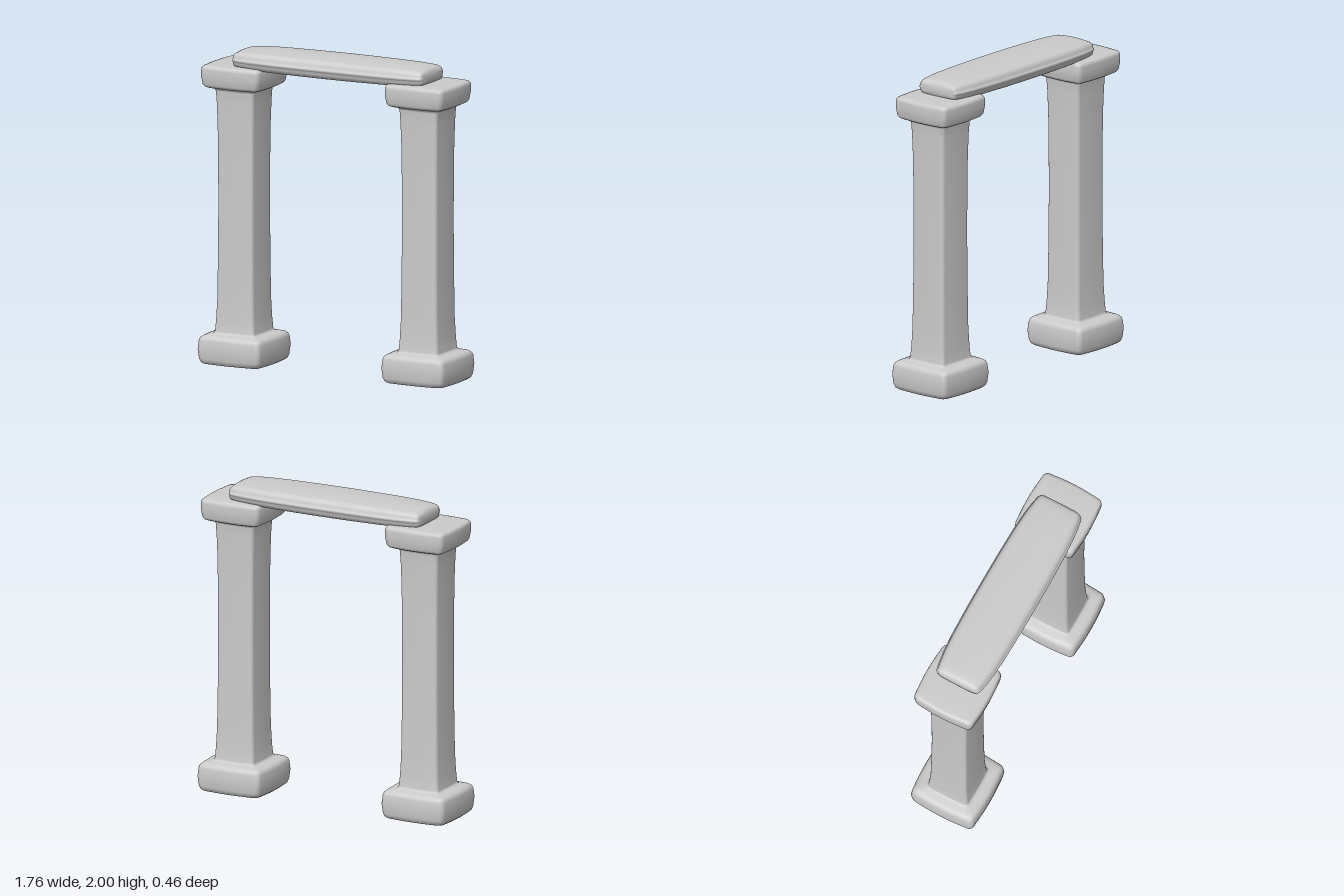
import * as THREE from 'three';

const stone = new THREE.MeshStandardMaterial({ color: 0xcccccc });

// Rounded rectangle in x/z; sides bow outward by `bow`.
function section(hx, hz, r, bow) {
  const points = [];
  const arc = 5, side = 6;
  const corners = [[1, 1], [-1, 1], [-1, -1], [1, -1]];
  corners.forEach(([sx, sz], q) => {
    for (let i = 0; i <= arc; i++) {
      const a = (q + i / arc) * Math.PI / 2;
      points.push([sx * (hx - bow - r) + r * Math.cos(a), sz * (hz - bow - r) + r * Math.sin(a)]);
    }
    const [nx, nz] = corners[(q + 1) % 4];
    const end = (q + 1) * Math.PI / 2, c = Math.cos(end), s = Math.sin(end);
    for (let i = 1; i < side; i++) {
      const t = i / side, b = r + bow * Math.sin(Math.PI * t);
      points.push([
        THREE.MathUtils.lerp(sx, nx, t) * (hx - bow - r) + b * c,
        THREE.MathUtils.lerp(sz, nz, t) * (hz - bow - r) + b * s,
      ]);
    }
  });
  return points;
}

// Skin a stack of sections along y; each ring is [y, halfX, halfZ, radius, bow].
function loft(rings) {
  const pos = [], index = [];
  let n = 0;
  for (const [y, hx, hz, r, bow] of rings) {
    const pts = section(hx, hz, r, bow);
    n = pts.length;
    for (const [x, z] of pts) pos.push(x, y, z);
  }
  for (let i = 0; i < rings.length - 1; i++) {
    for (let j = 0; j < n; j++) {
      const a = i * n + j, b = i * n + (j + 1) % n;
      index.push(a, a + n, b, b, a + n, b + n);
    }
  }
  // End faces
  const last = (rings.length - 1) * n, bottom = pos.length / 3, top = bottom + 1;
  pos.push(0, rings[0][0], 0, 0, rings[rings.length - 1][0], 0);
  for (let j = 0; j < n; j++) {
    const k = (j + 1) % n;
    index.push(bottom, j, k, top, last + k, last + j);
  }
  const geometry = new THREE.BufferGeometry();
  geometry.setAttribute('position', new THREE.Float32BufferAttribute(pos, 3));
  geometry.setIndex(index);
  geometry.computeVertexNormals();
  return geometry;
}

function pillarGeometry() {
  // [y, half width] from foot to capital
  const profile = [
    [0, 0.1], [0.002, 0.18], [0.007, 0.205], [0.018, 0.218], [0.04, 0.226], [0.1, 0.232],
    [0.155, 0.227], [0.172, 0.221], [0.183, 0.209], [0.189, 0.19], [0.193, 0.165],
    [0.198, 0.148], [0.21, 0.143], [0.28, 0.138], [0.4, 0.133], [0.65, 0.13], [1, 0.128],
    [1.3, 0.129], [1.5, 0.131], [1.65, 0.135], [1.725, 0.139], [1.738, 0.144],
    [1.743, 0.16], [1.749, 0.185], [1.757, 0.2], [1.772, 0.209], [1.82, 0.216],
    [1.865, 0.216], [1.878, 0.213], [1.887, 0.206], [1.892, 0.19], [1.894, 0.1],
  ];
  return loft(profile.map(([y, h]) => {
    const shaft = y > 0.195 && y < 1.74;
    return [y, h, h, shaft ? 0.022 : Math.min(0.035, h * 0.2), shaft ? 0.004 : 0.01];
  }));
}

function lintelGeometry() {
  // [distance from middle, half height, half depth]
  const half = [
    [0, 0.068, 0.19], [0.2, 0.067, 0.189], [0.4, 0.065, 0.184], [0.52, 0.063, 0.176],
    [0.6, 0.06, 0.165], [0.64, 0.056, 0.157], [0.655, 0.05, 0.152], [0.664, 0.042, 0.145],
    [0.67, 0.03, 0.128], [0.673, 0.015, 0.07],
  ];
  const ring = (d, h, z) => [d, h, z, h * 0.62, h * 0.14];
  const rings = [
    ...half.slice(1).reverse().map(([d, h, z]) => ring(-d, h, z)),
    ...half.map(([d, h, z]) => ring(d, h, z)),
  ];
  return loft(rings).rotateZ(-Math.PI / 2);
}

export function createModel() {
  const model = new THREE.Group();
  model.name = 'stoneGateway';

  // Matching pillars with foot, shaft and capital
  const geometry = pillarGeometry();
  for (const [name, x] of [['leftPillar', 0.647], ['rightPillar', -0.647]]) {
    const pillar = new THREE.Mesh(geometry, stone);
    pillar.name = name;
    pillar.position.x = x;
    model.add(pillar);
  }

  // Slab resting across the capitals
  const lintel = new THREE.Mesh(lintelGeometry(), stone);
  lintel.name = 'lintel';
  lintel.position.set(0.012, 1.932, 0);
  model.add(lintel);

  return model;
}
